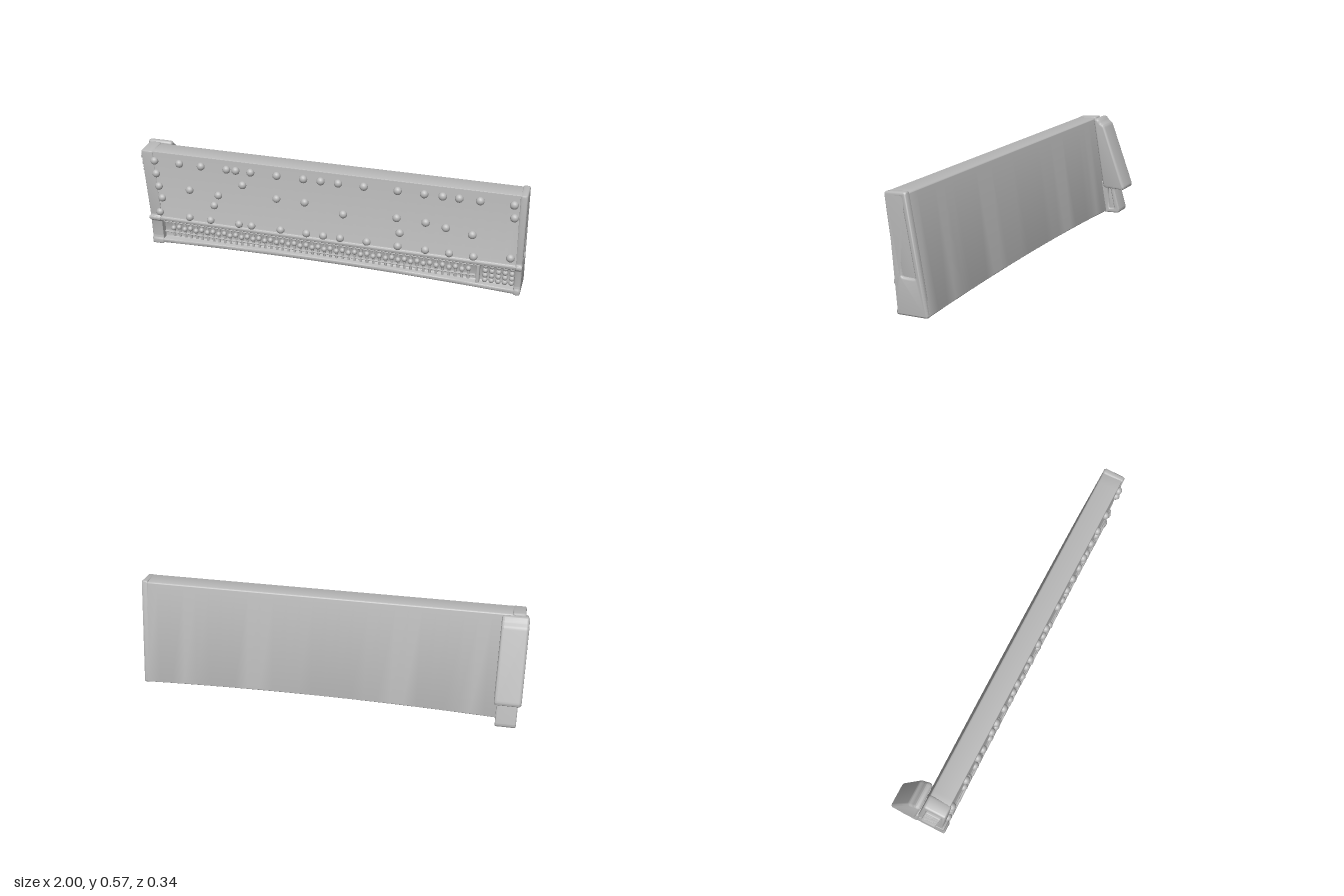
import * as THREE from 'three';
import { toCreasedNormals } from 'three/addons/utils/BufferGeometryUtils.js';
import { RoundedBoxGeometry } from 'three/addons/geometries/RoundedBoxGeometry.js';

const grey = new THREE.MeshStandardMaterial({ color: 0xb8b8b8 });
grey.name = 'plain grey';

// Slanted front face: z at height y
const frontZ = (y) => 0.106 + (y - 0.17) * 0.12;

// Outline from [z, y] corners, each rounded by r
function rounded(points, r, path = new THREE.Shape()) {
  const v = points.map(([a, b]) => new THREE.Vector2(a, b));
  v.forEach((p, i) => {
    const prev = v[(i + v.length - 1) % v.length], next = v[(i + 1) % v.length];
    const toward = (q) => p.clone().lerp(q, Math.min(0.45, r / p.distanceTo(q)));
    const a = toward(prev), b = toward(next);
    if (i === 0) path.moveTo(a.x, a.y); else path.lineTo(a.x, a.y);
    path.quadraticCurveTo(p.x, p.y, b.x, b.y);
  });
  path.closePath();
  return path;
}

// Extrude a side profile along x from x0 to x1
function slab(points, x0, x1, { r = 0.012, bevel = 0.01, hole = null, steps = 1 } = {}) {
  const shape = rounded(points, r);
  if (hole) shape.holes.push(rounded(hole, 0.008, new THREE.Path()));
  const g = new THREE.ExtrudeGeometry(shape, {
    depth: x1 - x0 - 2 * bevel, steps, curveSegments: 5,
    bevelSize: bevel, bevelOffset: -bevel, bevelThickness: bevel, bevelSegments: 3,
  });
  g.rotateY(-Math.PI / 2);
  g.translate(x1 - bevel, 0, 0);
  return g;
}

// Lift the lower edge into a shallow arch
function arch(g) {
  const p = g.attributes.position;
  for (let i = 0; i < p.count; i++) {
    const x = p.getX(i), y = p.getY(i);
    const w = THREE.MathUtils.clamp((0.1 - y) / 0.06, 0, 1);
    p.setY(i, y + 0.024 * w * Math.max(0, 1 - x * x));
  }
  return g;
}

export function createModel() {
  const group = new THREE.Group();
  const add = (name, geometry, parent = group) => {
    const m = new THREE.Mesh(geometry, grey);
    m.name = name;
    parent.add(m);
    return m;
  };
  const smooth = (g) => toCreasedNormals(g, 0.7);
  const sub = (name) => {
    const g = new THREE.Group();
    g.name = name;
    group.add(g);
    return g;
  };

  // Long leaning body with a recessed strip under a ledge
  add('body', smooth(arch(slab([
    [0.105, 0.007], [0.107, 0.03], [0.07, 0.034], [0.076, 0.142], [0.112, 0.146], [0.114, 0.166],
    [0.105, 0.172], [0.149, 0.562], [0.042, 0.566], [-0.058, 0.014],
  ], -0.965, 0.985, { r: 0.007, bevel: 0.005, steps: 28 }))));

  // End caps: framed upper panel, ledge and lower box
  const capOutline = [[0.11, 0.003], [0.108, 0.035], [0.102, 0.042], [0.106, 0.142], [0.115, 0.148],
    [0.115, 0.17], [0.108, 0.176], [0.155, 0.562], [0.04, 0.573], [-0.058, 0.012]];
  const capHole = [[0.073, 0.185], [0.128, 0.537], [0.066, 0.545], [0.002, 0.185]];
  add('rightEndCap', smooth(slab(capOutline, 0.965, 1.0, { hole: capHole })));
  add('leftEndCap', smooth(slab(capOutline, -0.982, -0.915, { hole: capHole })));
  add('leftPanelFloor', smooth(slab(capHole, -0.965, -0.93, { bevel: 0.002 })));
  const ledge = [[0.118, 0.148], [0.117, 0.17], [-0.022, 0.178], [-0.025, 0.16]];
  add('rightEndLedge', smooth(slab(ledge, 0.97, 1.0, { r: 0.007, bevel: 0.004 })));
  add('leftEndLedge', smooth(slab(ledge, -0.985, -0.92, { r: 0.007, bevel: 0.004 })));

  // Rungs set into the left end
  const rungs = sub('leftEndRungs');
  for (let i = 0; i < 9; i++) {
    const y = 0.205 + i * 0.039;
    const m = add('rung', new RoundedBoxGeometry(0.045, 0.02, 0.08, 2, 0.009), rungs);
    m.position.set(-0.974, y, 0.036 + (y - 0.185) * 0.17);
  }

  // Domed rivets on the front, x and y
  const rivets = sub('rivets');
  const dome = new THREE.SphereGeometry(0.021, 14, 10);
  const rivet = (x, y) => {
    const m = add('rivet', dome, rivets);
    m.position.set(x, y, frontZ(y) + 0.002);
    m.scale.z = 0.9;
  };
  [-0.91, -0.77, -0.65, -0.51, -0.46, -0.38, -0.24, -0.1, -0.01, 0.08, 0.21, 0.38, 0.51, 0.6, 0.68,
    0.78, 0.94].forEach((x) => rivet(x, 0.51));
  [-0.75, -0.63, -0.47, -0.4, -0.24, -0.1, -0.01, 0.08, 0.22, 0.38, 0.52, 0.64, 0.76]
    .forEach((x) => rivet(x, 0.19));
  [[-0.91, 0.435], [-0.905, 0.36], [-0.895, 0.29], [-0.92, 0.2], [0.945, 0.44], [0.94, 0.21],
    [-0.73, 0.36], [-0.57, 0.35], [-0.6, 0.285], [-0.43, 0.43], [-0.25, 0.375], [-0.1, 0.375],
    [0.1, 0.335], [0.375, 0.355], [0.39, 0.27], [0.52, 0.35], [0.62, 0.335], [0.75, 0.315]]
    .forEach(([x, y]) => rivet(x, y));

  // Row of small levers inside the strip
  const levers = sub('levers');
  const stem = new THREE.CylinderGeometry(0.007, 0.007, 0.085, 8);
  const knob = new THREE.SphereGeometry(0.014, 10, 8);
  for (let i = 0; i < 50; i++) {
    const x = -0.86 + i * 0.0326;
    add('leverStem', stem, levers).position.set(x, 0.092, 0.08);
    add('leverKnob', knob, levers).position.set(x, i % 2 ? 0.108 : 0.1, 0.087);
  }
  // Rails above and below the levers
  [0.072, 0.13].forEach((y) => {
    const rail = add('leverRail', new RoundedBoxGeometry(1.7, 0.008, 0.02, 1, 0.003), levers);
    rail.position.set(-0.065, y, 0.077);
  });

  // Button block at the right end of the strip
  const buttons = sub('buttons');
  add('buttonDivider', new RoundedBoxGeometry(0.018, 0.105, 0.03, 2, 0.006), buttons)
    .position.set(0.785, 0.09, 0.083);
  for (let i = 0; i < 5; i++) {
    for (let j = 0; j < 4; j++) {
      add('button', knob, buttons).position.set(0.82 + i * 0.033, 0.055 + j * 0.026, 0.08);
    }
  }

  // Sloping housing behind the left end
  add('rearHousing', smooth(slab([
    [0.032, 0.565], [0.018, 0.573], [0.0, 0.57], [-0.012, 0.552], [-0.036, 0.536], [-0.173, 0.178],
    [-0.168, 0.163], [-0.04, 0.165],
  ], -1.0, -0.865, { r: 0.014, bevel: 0.014 })));

  // Foot under the housing, with a shallow inset on each side
  add('rearFoot', smooth(slab(
    [[-0.02, 0.2], [-0.107, 0.2], [-0.104, 0.16], [-0.141, 0.035], [-0.136, 0.018], [-0.045, 0.012]],
    -0.985, -0.88,
    { hole: [[-0.066, 0.16], [-0.082, 0.16], [-0.108, 0.043], [-0.075, 0.04]], bevel: 0.007 },
  )));
  add('rearFootInset', smooth(slab(
    [[-0.05, 0.175], [-0.09, 0.175], [-0.118, 0.035], [-0.06, 0.032]], -0.974, -0.891,
    { bevel: 0.002 },
  )));
  return group;
}
